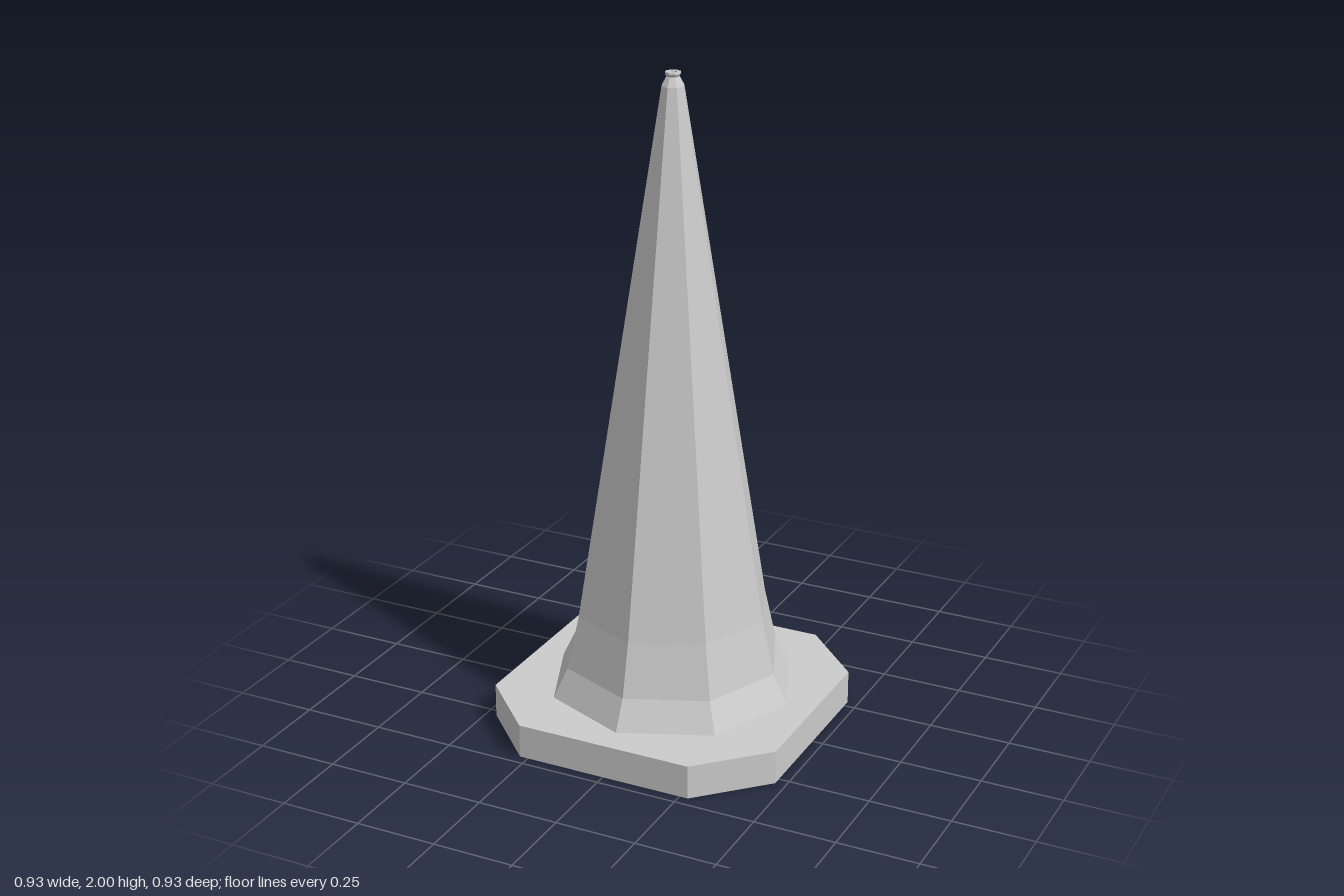
import * as THREE from 'three';

const material = new THREE.MeshStandardMaterial({ color: 0xcccccc, flatShading: true });

// Eight-sided solid of revolution with its corners on the x and z axes
function octagonal(name, profile) {
  const points = profile.map(([r, y]) => new THREE.Vector2(r, y));
  const mesh = new THREE.Mesh(new THREE.LatheGeometry(points, 8), material);
  mesh.name = name;
  return mesh;
}

// Square slab with cut corners
function createBase(half, flat, height) {
  const shape = new THREE.Shape([
    [half, -flat], [half, flat], [flat, half], [-flat, half],
    [-half, flat], [-half, -flat], [-flat, -half], [flat, -half],
  ].map(([x, y]) => new THREE.Vector2(x, y)));
  const geometry = new THREE.ExtrudeGeometry(shape, { depth: height, bevelEnabled: false });
  geometry.rotateX(-Math.PI / 2);
  const mesh = new THREE.Mesh(geometry, material);
  mesh.name = 'base';
  return mesh;
}

export function createModel() {
  const group = new THREE.Group();
  group.name = 'trafficCone';

  group.add(createBase(0.467, 0.276, 0.104));

  // Tapered body with a flared skirt
  group.add(octagonal('coneBody', [
    [0.38, 0.104], [0.335, 0.195], [0.298, 0.36], [0.034, 1.96],
  ]));

  // Rounded shoulder, narrow neck and flared lip with a shallow dimple
  group.add(octagonal('tip', [
    [0.034, 1.96], [0.022, 1.982], [0.019, 1.986],
    [0.024, 1.995], [0.023, 2.0], [0.013, 2.0], [0.011, 1.99], [0, 1.99],
  ]));

  return group;
}
